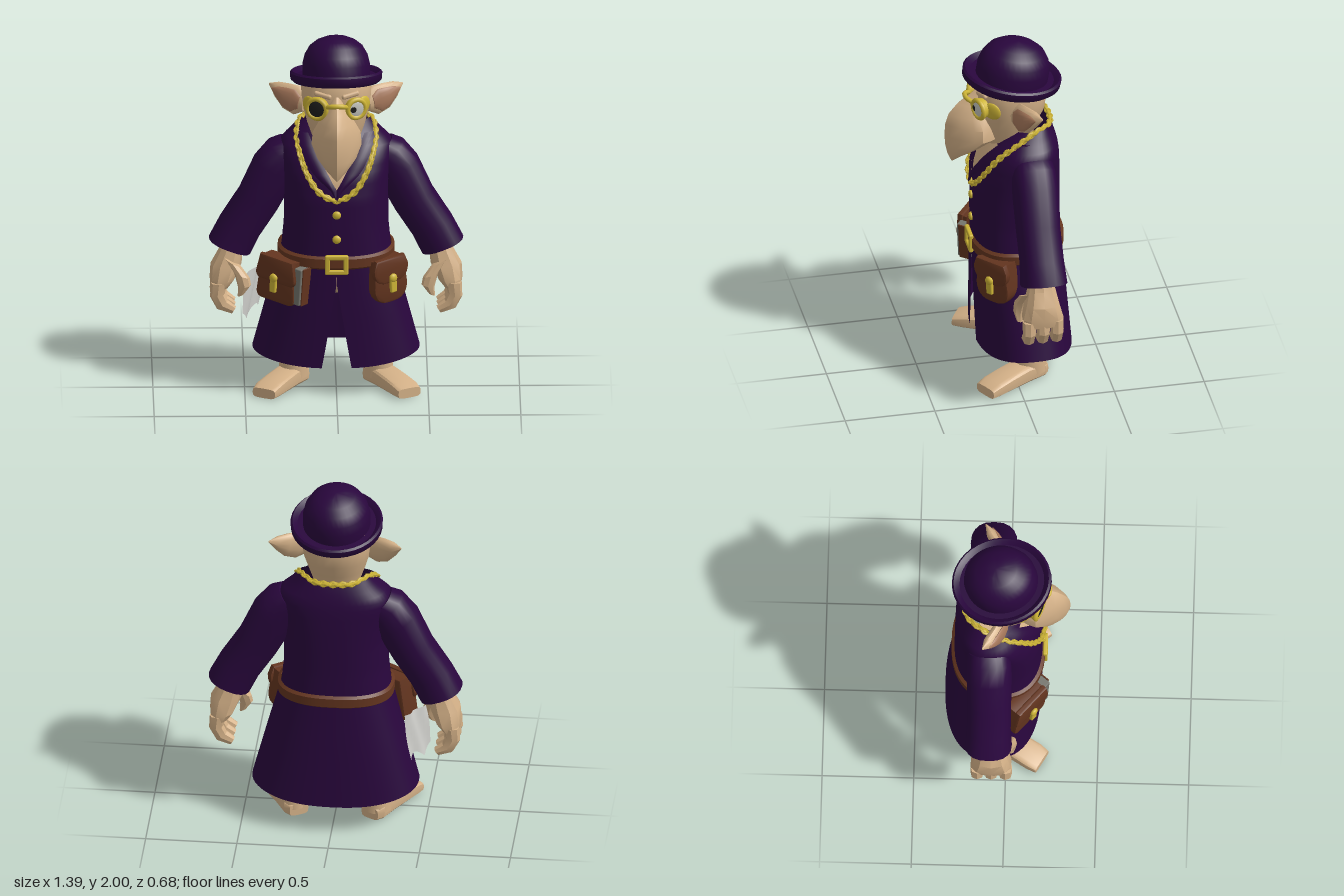
import * as THREE from 'three';
import { toCreasedNormals } from 'three/addons/utils/BufferGeometryUtils.js';
import { RoundedBoxGeometry } from 'three/addons/geometries/RoundedBoxGeometry.js';

const mat = (name, color) => new THREE.MeshStandardMaterial({ name, color, side: THREE.DoubleSide });
const V = (x, y, z) => new THREE.Vector3(x, y, z);
const spow = (v, e) => Math.sign(v) * Math.abs(v) ** e;
const lerp = THREE.MathUtils.lerp;

// Closed tube through rings [centre, u axis, v axis]; p is the superellipse power
function loft(rings, n = 12, p = 2, crease = 0.7) {
  const pos = [], idx = [], m = rings.length;
  for (const [c, u, v] of rings) for (let j = 0; j < n; j++) {
    const a = (j / n) * Math.PI * 2;
    const q = c.clone().addScaledVector(u, spow(Math.cos(a), 2 / p)).addScaledVector(v, spow(Math.sin(a), 2 / p));
    pos.push(q.x, q.y, q.z);
  }
  pos.push(...rings[0][0].toArray(), ...rings[m - 1][0].toArray());
  const mid = rings[m >> 1];
  const flip = mid[1].clone().cross(mid[2]).dot(rings[m - 1][0].clone().sub(rings[0][0])) < 0;
  const tri = (a, b, c) => (flip ? idx.push(a, c, b) : idx.push(a, b, c));
  for (let j = 0; j < n; j++) {
    const k = (j + 1) % n;
    for (let i = 0; i < m - 1; i++) {
      tri(i * n + j, i * n + k, (i + 1) * n + j);
      tri(i * n + k, (i + 1) * n + k, (i + 1) * n + j);
    }
    tri(m * n, k, j);
    tri(m * n + 1, (m - 1) * n + j, (m - 1) * n + k);
  }
  const g = new THREE.BufferGeometry();
  g.setAttribute('position', new THREE.Float32BufferAttribute(pos, 3));
  g.setIndex(idx);
  return toCreasedNormals(g, crease);
}
// Horizontal ring (y, half width, front z, back z) and limb ring tilted about z
const slab = ([y, rx, zf, zb]) => [V(0, y, (zf + zb) / 2), V(rx, 0, 0), V(0, 0, (zf - zb) / 2)];
const limb = ([x, y, z, a, b, t = 0]) => [V(x, y, z), V(a * Math.cos(t), a * Math.sin(t), 0), V(0, 0, b)];

// Surface patch from a rule (s, t) -> point, with s to the right and t upward
function sheet(fn, nu, nv) {
  const g = new THREE.PlaneGeometry(1, 1, nu, nv), p = g.attributes.position;
  for (let i = 0; i < p.count; i++) p.setXYZ(i, ...fn(p.getX(i) + 0.5, p.getY(i) + 0.5).toArray());
  g.deleteAttribute('uv');
  return toCreasedNormals(g, 0.8);
}

// Coat profile: y, half width, front z, back z
const COAT = [[0.17, 0.455, 0.185, -0.34], [0.5, 0.375, 0.19, -0.315], [0.8, 0.3, 0.19, -0.29], [0.95, 0.285, 0.192, -0.287],
  [1.12, 0.285, 0.19, -0.287], [1.24, 0.295, 0.17, -0.285], [1.34, 0.31, 0.125, -0.28], [1.4, 0.305, 0.085, -0.272],
  [1.46, 0.24, 0.045, -0.255], [1.52, 0.19, -0.02, -0.23]];
function coatAt(y) {
  let i = 0;
  while (i < COAT.length - 2 && y > COAT[i + 1][0]) i++;
  const t = (y - COAT[i][0]) / (COAT[i + 1][0] - COAT[i][0]);
  return COAT[i].map((v, k) => lerp(v, COAT[i + 1][k], t));
}
const N = 2.4;
function coatPoint(a, y, off = 0) {
  const [, rx, zf, zb] = coatAt(y);
  return V((rx + off) * spow(Math.sin(a), 2 / N), y, (zf + zb) / 2 + ((zf - zb) / 2 + off) * spow(Math.cos(a), 2 / N));
}
function frontZ(x, y) {
  const [, rx, zf, zb] = coatAt(y);
  return (zf + zb) / 2 + ((zf - zb) / 2) * Math.max(0, 1 - Math.abs(x / rx) ** N) ** (1 / N);
}

export function createModel() {
  const root = new THREE.Group();
  const purple = mat('coat purple', 0x29063d), skin = mat('skin', 0xd3b087), gold = mat('gold', 0xcdb436),
    leather = mat('brown leather', 0x64351f), paper = mat('grey cloth', 0xcfcfcb), pages = mat('page edges', 0x74746c),
    innerEar = mat('inner ear', 0xa8795c), black = mat('black glass', 0x1e1e1c), white = mat('eye white', 0xc4c4bc);
  const add = (parent, name, geo, m, x = 0, y = 0, z = 0) => {
    const o = new THREE.Mesh(geo, m);
    o.name = name;
    o.position.set(x, y, z);
    parent.add(o);
    return o;
  };
  const group = (name, x = 0, y = 0, z = 0, parent = root) => {
    const g = new THREE.Group();
    g.name = name;
    g.position.set(x, y, z);
    parent.add(g);
    return g;
  };
  const TAU = Math.PI * 2;

  // Coat: body, and skirt with a front slit and a lower hem at front and back
  add(root, 'coatBody', sheet((s, t) => coatPoint(s * TAU, lerp(0.78, 1.52, t)), 48, 24), purple);
  add(root, 'coatSkirt', sheet((s, t) => {
    const y = lerp(0.165, 0.8, t), gap = 0.126 * Math.max(0, (0.65 - y) / 0.48);
    const a = lerp(gap, TAU - gap, s), p = coatPoint(a, y);
    p.y += 0.05 * Math.sin(a) ** 2 * (1 - t);
    return p;
  }, 60, 12), purple);
  add(root, 'chestSkin', sheet((s, t) => {
    const y = lerp(1.19, 1.42, t), x = lerp(-1, 1, s) * (y - 1.19) * 0.6;
    return V(x, y, frontZ(x, y) + 0.007);
  }, 8, 8), skin);
  for (const k of [-1, 1]) add(root, 'lapel', sheet((s, t) => {
    const y = lerp(1.13, 1.47, t), q = k > 0 ? s : 1 - s;
    const inner = Math.max(0, y - 1.19) * 0.55, x = k * (inner + q * 0.085 * Math.min(1, t * 2.2));
    return V(x, y, frontZ(x, y) + 0.01 + 0.014 * Math.sin(Math.PI * (0.15 + 0.7 * q)));
  }, 6, 12), purple);
  for (const y of [1.05, 0.91]) add(root, 'coatButton', new THREE.SphereGeometry(0.024, 12, 8), gold, 0, y, 0.195).scale.z = 0.6;

  // Belt and buckle
  add(root, 'belt', sheet((s, t) => {
    const a = s * TAU, edge = t < 0.1 || t > 0.9;
    const p = coatPoint(a, 0.79, edge ? 0 : 0.016);
    p.y = lerp(0.735, 0.81, t) + 0.015 * (1 - Math.cos(a));
    return p;
  }, 48, 6), leather);
  const buckle = group('beltBuckle', 0, 0.768, 0.206);
  for (const k of [-1, 1]) {
    add(buckle, 'buckleSide', new RoundedBoxGeometry(0.028, 0.11, 0.025, 2, 0.008), gold, k * 0.05);
    add(buckle, 'buckleBar', new RoundedBoxGeometry(0.125, 0.026, 0.025, 2, 0.008), gold, 0, k * 0.042);
  }

  // Limbs and ears, mirrored
  for (const k of [1, -1]) {
    const side = group(k > 0 ? 'leftSide' : 'rightSide');
    side.scale.x = k;
    add(side, 'sleeve', loft([[0.24, 1.335, -0.1, 0.1, 0.11, 0.85], [0.285, 1.305, -0.095, 0.117, 0.12, 0.78], [0.34, 1.225, -0.092, 0.128, 0.124, 0.58],
      [0.425, 1.055, -0.09, 0.12, 0.12, 0.5], [0.525, 0.9, -0.09, 0.12, 0.12, 0.42], [0.58, 0.79, -0.09, 0.122, 0.128, 0.36],
      [0.578, 0.8, -0.09, 0.1, 0.108, 0.36], [0.56, 0.84, -0.09, 0.09, 0.1, 0.36]].map(limb), 20, 2.4), purple);
    const hand = group('hand', 0, 0, 0, side);
    add(hand, 'palm', loft([[0.565, 0.83, -0.08, 0.06, 0.062], [0.575, 0.77, -0.078, 0.066, 0.074], [0.6, 0.69, -0.075, 0.085, 0.094],
      [0.62, 0.61, -0.075, 0.07, 0.115], [0.635, 0.565, -0.075, 0.048, 0.108]].map(limb), 10, 2.5, 0.4), skin);
    for (const z of [-0.15, -0.073, 0.004]) add(hand, 'finger', loft([[0.64, 0.6, z, 0.044, 0.037], [0.648, 0.53, z, 0.041, 0.037, -0.2],
      [0.62, 0.475, z, 0.039, 0.034, -0.7], [0.56, 0.445, z, 0.024, 0.026, -1]].map(limb), 8, 2.4, 0.4), skin);
    add(hand, 'thumb', loft([[0.565, 0.72, 0, 0.05, 0.045, 0.5], [0.515, 0.65, 0.022, 0.044, 0.04, 0.3], [0.5, 0.59, 0.03, 0.036, 0.034, -0.2],
      [0.52, 0.54, 0.03, 0.02, 0.02, -0.4]].map(limb), 8, 2.4, 0.4), skin);

    // Leg and outward-turned foot
    add(side, 'leg', loft([[0.15, 0.62, -0.06, 0.12, 0.1], [0.2, 0.45, -0.075, 0.085, 0.092], [0.22, 0.3, -0.083, 0.075, 0.085], [0.232, 0.18, -0.085, 0.075, 0.085],
      [0.232, 0.04, -0.09, 0.08, 0.09]].map(limb), 14), skin);
    const foot = [[-0.085, 0.055, 0.07], [-0.05, 0.076, 0.09], [0.06, 0.073, 0.1], [0.18, 0.075, 0.088], [0.27, 0.077, 0.075], [0.325, 0.07, 0.055]];
    add(side, 'foot', loft(foot.map(([z, w, h]) => [V(0, h / 2, z), V(w, 0, 0), V(0, h / 2, 0)]), 16, 4, 0.5), skin, 0.236, 0, -0.085).rotation.y = 0.52;

    // Pointed ear with hollow
    const m = V(0.6, 0, 0.8);
    const ear = (f, off, th) => loft([[0.165, 1.63, -0.015, 0.05], [0.215, 1.638, -0.035, 0.083], [0.27, 1.652, -0.066, 0.072],
      [0.32, 1.68, -0.1, 0.042], [0.364, 1.702, -0.13, 0.004]].map(([x, y, z, h]) =>
      [V(lerp(0.25, x, f), lerp(1.65, y, f), lerp(-0.055, z, f)).addScaledVector(m, off), V(-0.2 * h * f, h * f, 0), m.clone().multiplyScalar(th * Math.min(1, h * 20))]), 14);
    add(side, 'ear', ear(1, 0, 0.034), skin);
    add(side, 'earHollow', ear(0.76, 0.025, 0.016), innerEar);
    const brow = add(side, 'brow', new RoundedBoxGeometry(0.1, 0.028, 0.03, 2, 0.012), skin, 0.075, 1.727, 0.148);
    brow.rotation.set(0, 0.3, 0.2);
  }
  add(root, 'hips', new THREE.SphereGeometry(1, 18, 12), skin, 0, 0.62, -0.05).scale.set(0.15, 0.09, 0.12);

  // Head and beak-like nose
  add(root, 'head', loft([[1.36, 0.105, 0.09, -0.13], [1.44, 0.13, 0.125, -0.15], [1.52, 0.158, 0.145, -0.17], [1.6, 0.18, 0.157, -0.21],
    [1.68, 0.192, 0.165, -0.22], [1.76, 0.19, 0.165, -0.215], [1.8, 0.175, 0.145, -0.2]].map(slab), 24, 2.2, 1), skin);
  add(root, 'beak', loft([[1.28, 0.004, 0.304, 0.294], [1.33, 0.055, 0.326, 0.22], [1.385, 0.105, 0.338, 0.1], [1.45, 0.137, 0.343, -0.03],
    [1.52, 0.13, 0.338, -0.03], [1.58, 0.1, 0.32, 0.02], [1.64, 0.06, 0.272, 0.07], [1.68, 0.04, 0.215, 0.08], [1.72, 0.03, 0.17, 0.08]].map(slab), 16, 1.35, 0.6), skin);

  // Spectacles: one dark glass, one open eye
  for (const k of [-1, 1]) {
    const g = group(k > 0 ? 'clearEyepiece' : 'darkEyepiece', k * 0.108, 1.657, 0.175);
    g.rotation.y = k * 0.4;
    const r = k > 0 ? 0.051 : 0.055;
    add(g, 'rim', new THREE.TorusGeometry(r, 0.014, 8, 24), gold);
    add(g, 'rimShell', new THREE.CylinderGeometry(r + 0.01, r * 0.8, 0.1, 24, 1, true), gold, 0, 0, -0.05).rotation.x = Math.PI / 2;
    add(g, 'lens', new THREE.SphereGeometry(r, 18, 10), k > 0 ? white : black).scale.z = 0.25;
    if (k > 0) add(g, 'pupil', new THREE.CircleGeometry(0.017, 14), black, -0.024, 0, 0.0145).rotation.y = -0.15;
    const plate = add(root, 'templePlate', new THREE.SphereGeometry(1, 16, 10), gold, k * 0.146, 1.657, 0.108);
    plate.scale.set(0.055, 0.05, 0.014);
    plate.rotation.y = k * 0.87;
  }
  const bridge = new THREE.CatmullRomCurve3([V(-0.06, 1.67, 0.19), V(-0.025, 1.685, 0.225), V(0.025, 1.685, 0.225), V(0.062, 1.67, 0.19)]);
  add(root, 'bridge', new THREE.TubeGeometry(bridge, 12, 0.013, 8), gold);

  // Round hat with a rolled brim, tipped back and open underneath
  const hat = [[0.165, 0], [0.19, -0.012], [0.232, -0.025], [0.25, -0.008], [0.252, 0.028], [0.242, 0.038], [0.23, 0.03], [0.215, 0.014], [0.184, 0.014],
    [0.184, 0.075], [0.172, 0.125], [0.145, 0.172], [0.105, 0.203], [0.055, 0.222], [0, 0.229]].map(([x, y]) => new THREE.Vector2(x, y));
  const hatMesh = add(root, 'hat', toCreasedNormals(new THREE.LatheGeometry(hat, 36), 0.8), purple, 0, 1.773, -0.03);
  hatMesh.rotation.x = -0.165;
  hatMesh.scale.z = 1.09;

  // Neck chain of links
  const half = [[0.09, 1.175], [0.16, 1.27], [0.2, 1.375]].map(([x, y]) => V(x, y, frontZ(x, y) + 0.016));
  half.push(V(0.215, 1.46, -0.02), V(0.19, 1.515, -0.12), V(0.11, 1.515, -0.215));
  const mirrored = half.map((p) => V(-p.x, p.y, p.z)).reverse();
  const curve = new THREE.CatmullRomCurve3([V(0, 1.135, 0.198), ...half, V(0, 1.515, -0.238), ...mirrored], true);
  const chain = group('neckChain');
  add(chain, 'chainCore', new THREE.TubeGeometry(curve, 90, 0.011, 6, true), gold);
  const link = new THREE.TorusGeometry(0.013, 0.0075, 5, 8);
  for (let i = 0; i < 64; i++) {
    const o = add(chain, 'chainLink', link, gold);
    o.position.copy(curve.getPointAt(i / 64));
    o.lookAt(o.position.clone().add(curve.getTangentAt(i / 64)));
    o.rotateY(Math.PI / 2);
    o.rotateX((i % 2) * 1.3 + 0.4);
    o.scale.x = 1.35;
  }

  // Belt bags: a square one holding papers and a round-bottomed one
  const pouch = (w, h, d, r) => {
    const s = new THREE.Shape();
    s.moveTo(-w * 0.42, h / 2).lineTo(-w / 2, -h / 2 + r).quadraticCurveTo(-w / 2, -h / 2, -w / 2 + r, -h / 2);
    s.lineTo(w / 2 - r, -h / 2).quadraticCurveTo(w / 2, -h / 2, w / 2, -h / 2 + r).lineTo(w * 0.42, h / 2);
    const g = new THREE.ExtrudeGeometry(s, { depth: d - 0.03, bevelSize: 0.012, bevelThickness: 0.015, bevelSegments: 2, curveSegments: 6 });
    return toCreasedNormals(g.translate(0, 0, -d / 2 + 0.015), 0.7);
  };
  const bag = (name, x, z, w, r, turn) => {
    const g = group(name, x, 0.656, z);
    g.rotation.y = turn;
    add(g, 'bagBody', pouch(w, 0.225, 0.11, r), leather);
    add(g, 'bagFlap', pouch(w + 0.01, 0.12, 0.04, r * 0.9), leather, 0, 0.062, 0.045);
    add(g, 'bagClasp', new RoundedBoxGeometry(0.042, 0.095, 0.022, 2, 0.008), gold, 0, -0.015, 0.07);
    add(g, 'claspKnob', new THREE.SphereGeometry(0.026, 10, 8), gold, 0, 0.02, 0.073).scale.z = 0.6;
    return g;
  };
  const square = bag('rightBag', -0.3, 0.095, 0.235, 0.03, -0.68);
  square.rotation.z = -0.08;
  add(square, 'papers', new RoundedBoxGeometry(0.05, 0.21, 0.08, 1, 0.006), pages, 0.138, -0.002, 0.003);
  add(square, 'paperCover', new RoundedBoxGeometry(0.008, 0.215, 0.07, 1, 0.003), leather, 0.166, -0.002, -0.005);
  const round = bag('leftBag', 0.265, 0.1, 0.205, 0.085, 0.66);
  round.rotation.z = 0.06;

  // Crumpled cloth hanging behind the square bag
  add(root, 'hangingCloth', sheet((s, t) => V(lerp(-0.39, -0.48, s) - 0.035 * (1 - t) + 0.01 * Math.sin(s * 9 + t * 3),
    lerp(0.4 + 0.03 * Math.sin(s * 7), 0.68 - 0.03 * s, t), lerp(-0.19, -0.01, s)), 12, 6), paper);
  return root;
}
